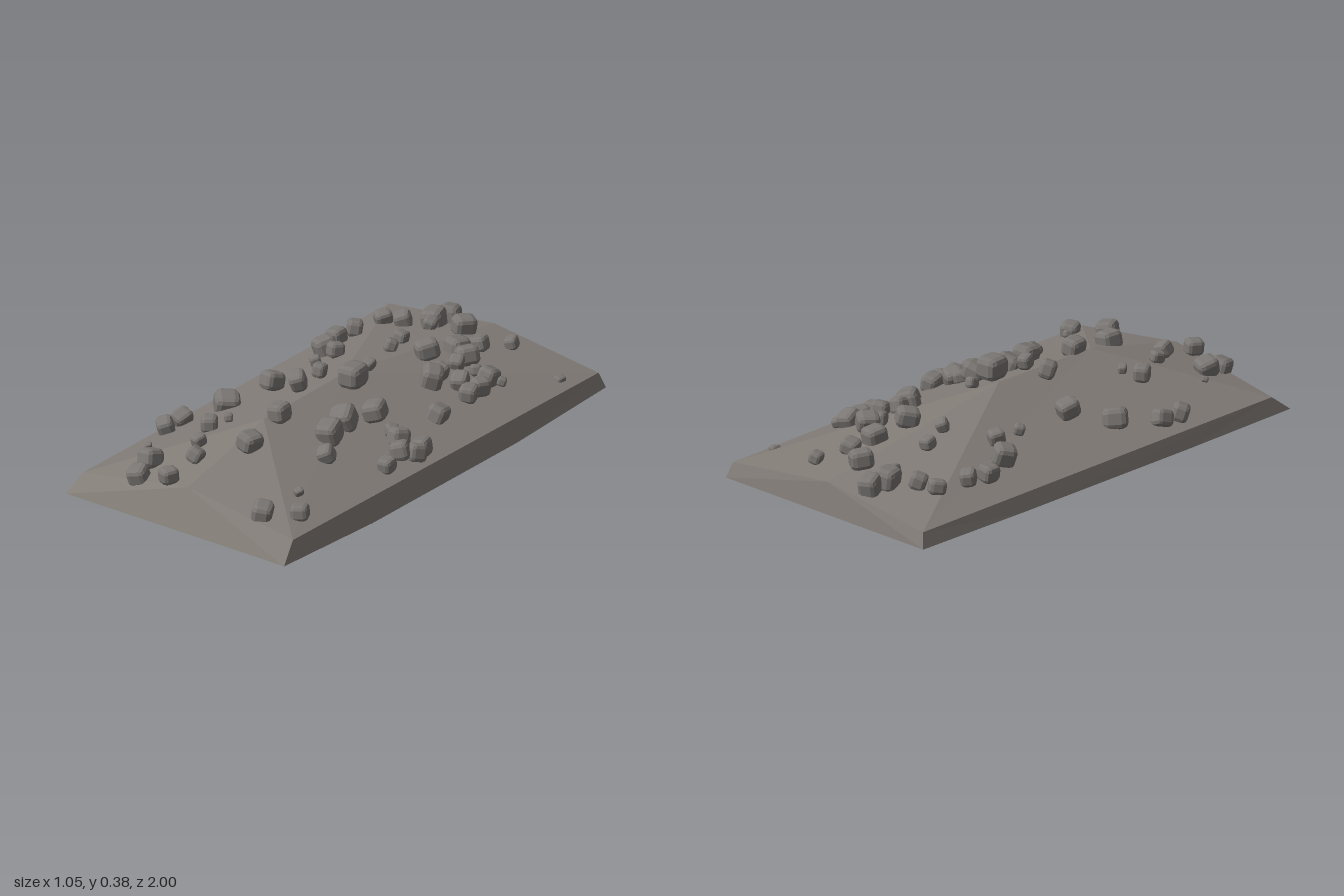
import * as THREE from 'three';

const soil = new THREE.MeshStandardMaterial({ name: 'earth grey', color: 0x827c77, flatShading: true });
const stone = new THREE.MeshStandardMaterial({ name: 'stone grey', color: 0x7a7673, flatShading: true });

// Hipped mound with a bevelled rim and a slightly sunken underside
function moundGeometry() {
  const p = [
    [-0.525, 0.025, 1], [0.525, 0.025, 1], [0.525, 0, 0.45], [0.525, 0, -0.45],
    [0.525, 0.025, -1], [-0.525, 0.025, -1], [-0.525, 0.02, -0.45], [-0.525, 0.02, 0.45],
    [-0.505, 0.09, 0.92], [0, 0.175, 0.92], [0.505, 0.1, 0.92],
    [0.505, 0.088, -0.98], [0, 0.15, -0.98], [-0.505, 0.085, -0.98],
    [0, 0.285, 0.45], [0, 0.29, -0.05],
  ];
  const faces = [
    [0, 1, 9], [1, 10, 9], [0, 9, 8], // front
    [1, 2, 10], [2, 3, 10], [3, 4, 11], [3, 11, 10], // left side
    [4, 5, 12], [5, 13, 12], [4, 12, 11], // back
    [5, 6, 13], [6, 8, 13], [6, 7, 8], [7, 0, 8], // right side
    [8, 9, 14], [9, 10, 14], [10, 11, 15], [10, 15, 14], // top
    [11, 12, 15], [12, 13, 15], [13, 8, 14], [13, 14, 15],
    [0, 7, 2], [0, 2, 1], [7, 6, 3], [7, 3, 2], [6, 5, 4], [6, 4, 3], // underside
  ];
  const g = new THREE.BufferGeometry();
  g.setAttribute('position', new THREE.Float32BufferAttribute(faces.flat().flatMap(i => p[i]), 3));
  g.computeVertexNormals();
  return g;
}

// Height of the mound's top at a point
function heightAt(x, z) {
  const a = Math.abs(x);
  return Math.min(0.29 - 0.386 * a, 0.285 - 0.234 * (z - 0.45) - 0.157 * a, 0.29 + 0.15 * (z + 0.05) - 0.13 * a);
}

// Chunky stone: a cube with wide bevels pulled towards a sphere
function rockGeometry() {
  const g = new THREE.BoxGeometry(2, 2, 2, 3, 3, 3).toNonIndexed();
  const pos = g.attributes.position;
  const v = new THREE.Vector3(), s = new THREE.Vector3();
  const widen = c => (Math.abs(c) < 0.9 ? Math.sign(c) * 0.52 : c);
  for (let i = 0; i < pos.count; i++) {
    v.fromBufferAttribute(pos, i);
    v.set(widen(v.x), widen(v.y), widen(v.z));
    s.copy(v).normalize().multiplyScalar(1.12);
    v.lerp(s, 0.85);
    pos.setXYZ(i, v.x, v.y, v.z);
  }
  g.computeVertexNormals();
  return g;
}

// Stones by area: x, z, radius, optional centre height
const backRocks = [
  [-0.16, -0.915, 0.053], [-0.175, -0.835, 0.056], [-0.15, -0.78, 0.032],
  [-0.35, -0.745, 0.037], [-0.27, -0.765, 0.04], [-0.015, -0.815, 0.05, 0.2],
  [0.18, -0.86, 0.032], [0.45, -0.81, 0.024, 0.105], [0.12, -0.735, 0.042],
  [0.095, -0.63, 0.052], [-0.375, -0.6, 0.04], [-0.39, -0.505, 0.042],
  [-0.115, -0.555, 0.032], [0.07, -0.475, 0.05, 0.25], [-0.07, -0.43, 0.033],
  [0.19, -0.57, 0.05, 0.225], [0.19, -0.505, 0.035], [0.32, -0.535, 0.05],
  [0.365, -0.56, 0.022], [0.27, -0.52, 0.026],
];
const middleRocks = [
  [-0.34, -0.37, 0.052], [-0.25, -0.32, 0.037], [0.205, -0.375, 0.042],
  [0.21, -0.325, 0.056], [0.28, -0.41, 0.042], [0.34, -0.455, 0.042],
  [0.34, -0.385, 0.042], [-0.255, -0.2, 0.026], [0.345, -0.19, 0.047, 0.165],
  [0.045, -0.15, 0.026, 0.305], [0.075, -0.01, 0.06, 0.32], [-0.26, 0.06, 0.047, 0.225],
  [-0.02, 0.075, 0.034, 0.345], [-0.075, 0.14, 0.043, 0.31], [0.23, 0.055, 0.052, 0.24],
  [0.32, 0.065, 0.032], [0.36, 0.075, 0.047], [0.44, 0.035, 0.045],
  [0.41, 0.13, 0.047], [0.45, 0.08, 0.042], [0.435, 0.245, 0.04],
  [-0.355, 0.22, 0.056, 0.165], [0.18, 0.185, 0.062, 0.24], [0.205, 0.305, 0.056, 0.235],
];
const frontRocks = [
  [0.03, 0.39, 0.048, 0.3], [0.275, 0.415, 0.04], [-0.44, 0.39, 0.042],
  [-0.445, 0.485, 0.042], [-0.165, 0.455, 0.022], [-0.215, 0.51, 0.04],
  [0.05, 0.6, 0.05, 0.262], [-0.15, 0.66, 0.03], [-0.345, 0.72, 0.015],
  [0.355, 0.69, 0.02], [-0.095, 0.75, 0.037], [-0.265, 0.81, 0.048],
  [-0.25, 0.905, 0.046, 0.15], [-0.105, 0.905, 0.042, 0.19],
  [0.32, 0.87, 0.053, 0.145], [0.43, 0.78, 0.042],
];

export function createModel() {
  const model = new THREE.Group();
  model.name = 'rockyMound';

  const mound = new THREE.Mesh(moundGeometry(), soil);
  mound.name = 'mound';
  model.add(mound);

  let seed = 7;
  const rand = () => (seed = (seed * 16807) % 2147483647) / 2147483647;
  const geometry = rockGeometry();
  for (const [name, rocks] of Object.entries({ backRocks, middleRocks, frontRocks })) {
    const group = new THREE.Group();
    group.name = name;
    for (const [x, z, r, y = heightAt(x, z) + 0.02] of rocks) {
      const rock = new THREE.Mesh(geometry, stone);
      rock.name = 'rock';
      rock.position.set(x, y, z);
      rock.scale.set(r * (0.8 + 0.12 * rand()), r * (0.8 + 0.15 * rand()), r * (0.92 + 0.1 * rand()));
      rock.rotation.set((rand() - 0.5) * 0.7, (rand() - 0.5) * 1.6, (rand() - 0.5) * 0.7);
      group.add(rock);
    }
    model.add(group);
  }
  return model;
}
